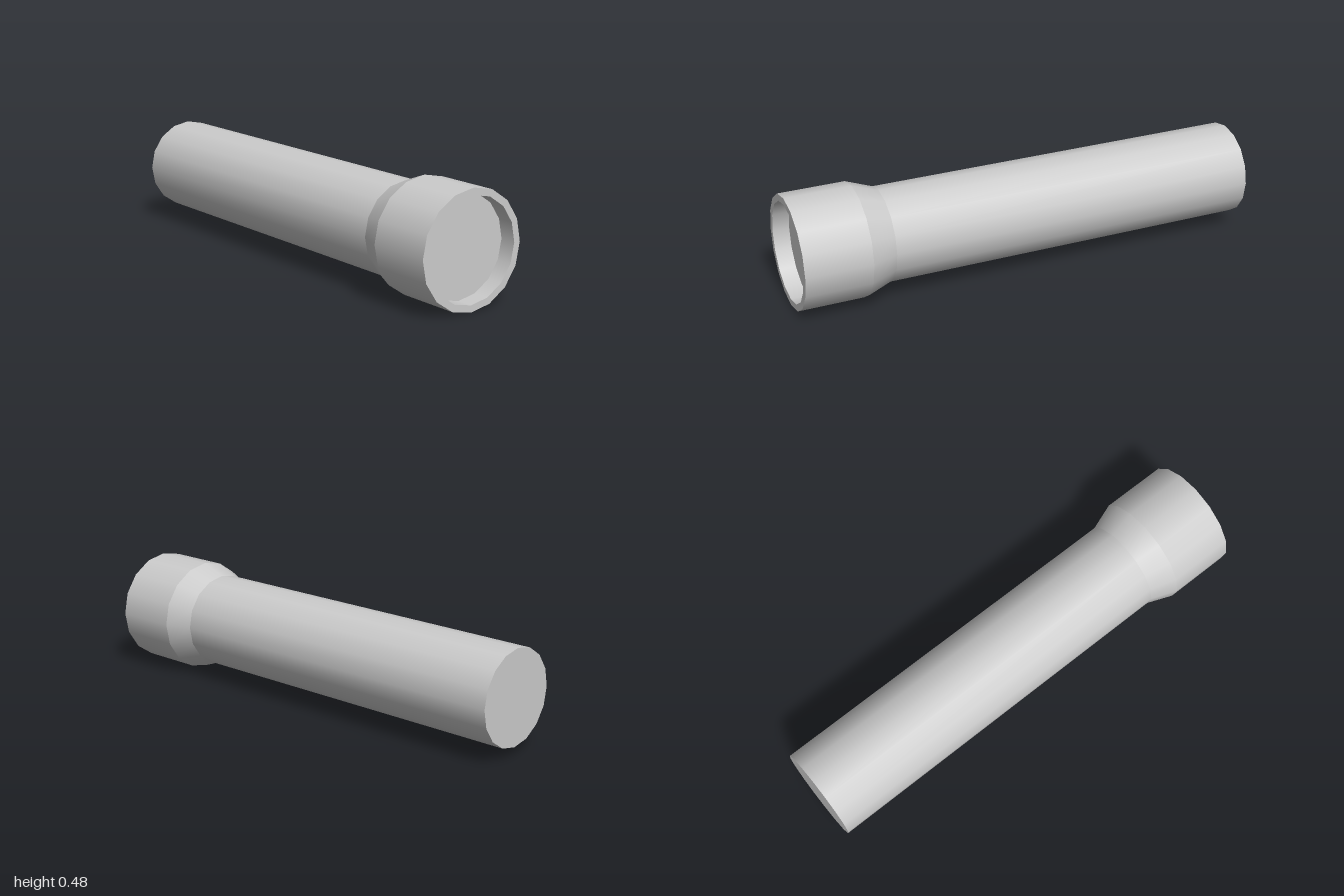
import * as THREE from 'three';

const SIDES = 16;
const CENTRE_Y = 0.239;

export function createModel() {
  const model = new THREE.Group();
  model.name = 'flashlight';
  const material = new THREE.MeshStandardMaterial({ color: 0xcccccc });

  // One band of the turned profile, from (r0, z0) to (r1, z1), with its own smooth normals
  const band = (name, r0, z0, r1, z1) => {
    const profile = [new THREE.Vector2(r0, z0), new THREE.Vector2(r1, z1)];
    const geometry = new THREE.LatheGeometry(profile, SIDES).rotateX(Math.PI / 2);
    const mesh = new THREE.Mesh(geometry, material);
    mesh.name = name;
    return mesh;
  };

  // Flat disc facing +z or -z, its corners lined up with the bands
  const disc = (name, radius, z, facing) => {
    const geometry = new THREE.CircleGeometry(radius, SIDES);
    if (facing < 0) geometry.rotateY(Math.PI);
    const mesh = new THREE.Mesh(geometry, material);
    mesh.name = name;
    mesh.position.z = z;
    return mesh;
  };

  // Handle: long barrel closed at the back
  const handle = new THREE.Group();
  handle.name = 'handle';
  handle.add(
    disc('endCap', 0.198, -1, -1),
    band('barrel', 0.198, -1, 0.198, 0.61)
  );

  // Head: flare, collar, rim and recessed lens
  const head = new THREE.Group();
  head.name = 'head';
  head.add(
    band('flare', 0.198, 0.61, 0.2385, 0.72),
    band('collar', 0.2385, 0.72, 0.2385, 1),
    band('rim', 0.2385, 1, 0.21, 1),
    band('innerWall', 0.21, 1, 0.21, 0.93),
    disc('lens', 0.21, 0.93, 1)
  );

  for (const part of [handle, head]) {
    part.position.y = CENTRE_Y;
    model.add(part);
  }
  return model;
}
